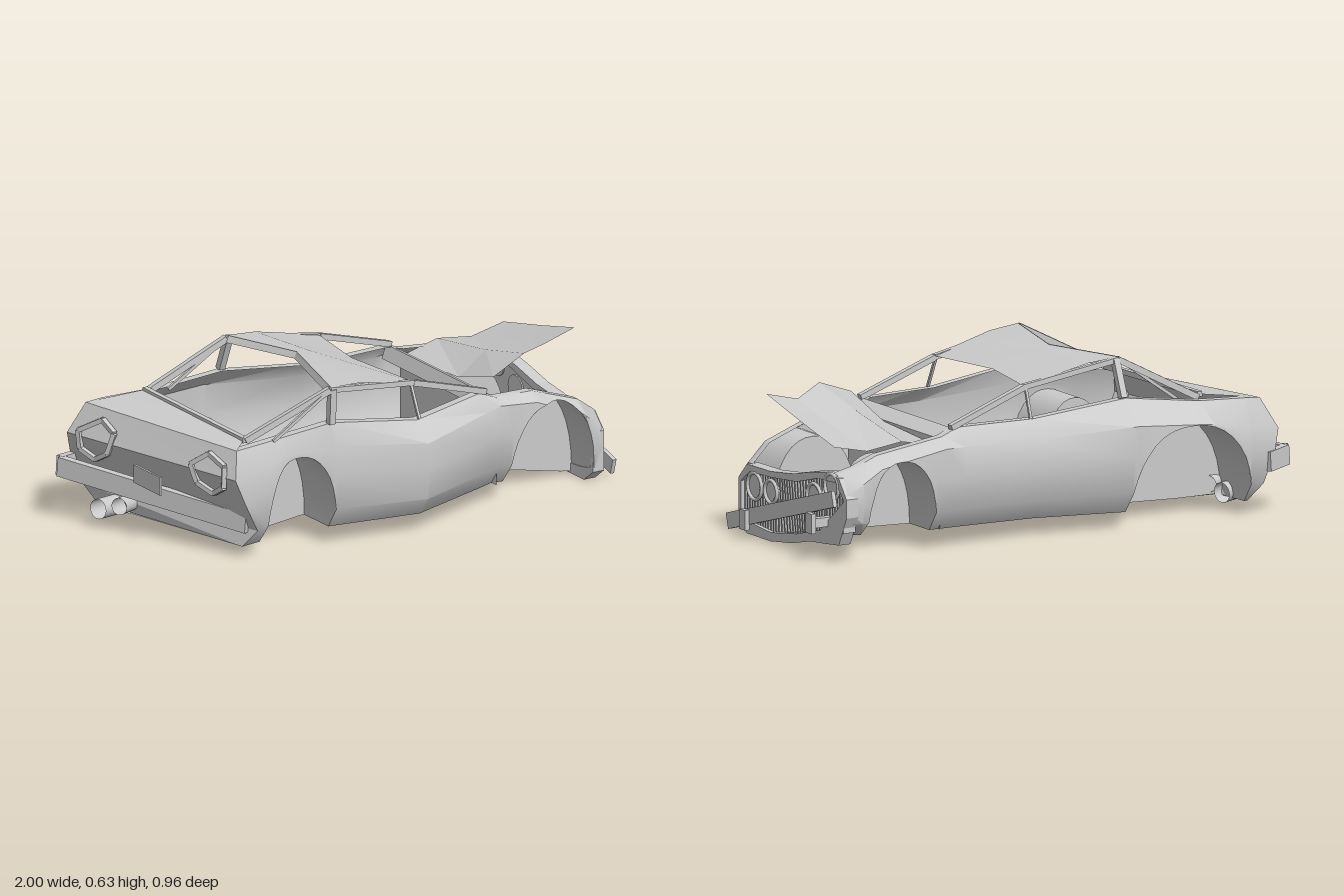
import * as THREE from 'three';
import { toCreasedNormals } from 'three/addons/utils/BufferGeometryUtils.js';

const mat = new THREE.MeshStandardMaterial({ color: 0xcccccc, side: THREE.DoubleSide });
const lerp = THREE.MathUtils.lerp;
const V = (a) => new THREE.Vector3(...a);

// Linear lookup in rows sorted by their first value.
function lookup(rows, x) {
  if (x <= rows[0][0]) return rows[0];
  for (let i = 1; i < rows.length; i++) {
    const a = rows[i - 1], b = rows[i];
    if (x <= b[0]) return a.map((v, k) => lerp(v, b[k], (x - a[0]) / (b[0] - a[0])));
  }
  return rows[rows.length - 1];
}

// Skin over equal-length rows of points.
function skin(rows, crease = 0.5) {
  const n = rows[0].length, index = [];
  for (let i = 0; i + 1 < rows.length; i++) for (let j = 0; j + 1 < n; j++) {
    const a = i * n + j, b = a + n;
    index.push(a, b, a + 1, b, b + 1, a + 1);
  }
  const g = new THREE.BufferGeometry();
  g.setAttribute('position', new THREE.Float32BufferAttribute(rows.flat(2), 3));
  g.setIndex(index);
  return toCreasedNormals(g, crease);
}

// Crushed flanks: x, outer z, belt z, belt y, shoulder y, bottom y.
// Arches: start x, end x, top y, tub depth z.
const flanks = {
  left: {
    sign: 1, rearShift: [0.02, 0.05, -0.01, -0.05, -0.02, 0],
    rows: [
      [-0.68, 0.38, 0.335, 0.43, 0.33, 0.045], [-0.5, 0.37, 0.335, 0.445, 0.38, 0.05],
      [-0.32, 0.42, 0.39, 0.485, 0.4, 0.07], [0.05, 0.482, 0.4, 0.43, 0.36, 0.07],
      [0.38, 0.365, 0.31, 0.445, 0.382, 0.07], [0.46, 0.335, 0.295, 0.41, 0.385, 0.07],
      [0.62, 0.335, 0.29, 0.405, 0.37, 0.06], [0.83, 0.34, 0.28, 0.33, 0.28, 0.015],
      [0.92, 0.31, 0.25, 0.265, 0.21, 0]],
    arches: [[-0.58, -0.31, 0.37, 0.19], [0.51, 0.88, 0.355, 0.16]],
  },
  right: {
    sign: -1, rearShift: [0.06, 0.03, -0.01, -0.03, 0.03, 0.05],
    rows: [
      [-0.9, 0.46, 0.42, 0.435, 0.32, 0.05], [-0.8, 0.48, 0.42, 0.44, 0.34, 0.05],
      [-0.62, 0.482, 0.4, 0.445, 0.37, 0.05], [-0.33, 0.465, 0.365, 0.48, 0.39, 0.06],
      [0.05, 0.4, 0.34, 0.44, 0.37, 0.065], [0.38, 0.405, 0.345, 0.445, 0.38, 0.07],
      [0.46, 0.405, 0.36, 0.42, 0.38, 0.07], [0.75, 0.43, 0.38, 0.385, 0.34, 0.08],
      [0.85, 0.46, 0.39, 0.35, 0.3, 0.1], [0.92, 0.45, 0.38, 0.33, 0.26, 0.12]],
    arches: [[-0.81, -0.31, 0.37, 0.24], [0.5, 0.82, 0.355, 0.2]],
  },
};

function levels(f, x) {
  const [, zo, zb, yb, ys, y0] = lookup(f.rows, x);
  return [[y0, zo - 0.07], [lerp(y0, ys, 0.25), zo - 0.012], [lerp(y0, ys, 0.65), zo],
    [ys, zo - 0.006], [yb, zb]];
}

function archY(f, x) {
  const a = f.arches.find(([s, e]) => x >= s && x <= e);
  if (!a) return -1;
  const u = Math.abs((2 * x - a[0] - a[1]) / (a[1] - a[0]));
  return lerp(lookup(f.rows, x)[5], a[2], Math.pow(Math.max(0, 1 - u ** 2.3), 0.45));
}

const archXs = ([s, e]) => Array.from({ length: 19 }, (_, i) =>
  lerp(s, e, (1 - Math.cos(Math.PI * i / 18)) / 2));

function stations(f) {
  const xs = [...f.rows.map((r) => r[0]), ...f.arches.flatMap(archXs)];
  return [...new Set(xs)].sort((a, b) => a - b);
}

// Points of a flank at x, bottom to window-sill lip, cut away by the arches.
function section(f, x, shift) {
  const l = levels(f, x), cut = archY(f, x);
  const pts = l.map(([y]) => { const c = Math.max(y, cut); return [x, c, lookup(l, c)[1]]; });
  const t = pts[4];
  pts.push([x, t[1], t[2] - 0.035]);
  return pts.map(([px, y, z], i) => [px + (shift ? shift[i] : 0), y, z * f.sign]);
}

export function createModel() {
  const car = new THREE.Group();
  const add = (name, geo) => {
    const m = new THREE.Mesh(geo, mat);
    m.name = name;
    car.add(m);
    return m;
  };
  // Rectangular bar between two points.
  const bar = (name, a, b, w = 0.02, h = w) => {
    const A = V(a), B = V(b);
    const m = add(name, new THREE.BoxGeometry(w, h, A.distanceTo(B)));
    m.position.copy(A).add(B).multiplyScalar(0.5);
    m.lookAt(B);
  };
  const tube = (name, a, b, r, open = false) => {
    const A = V(a), B = V(b);
    const m = add(name, new THREE.CylinderGeometry(r, r, A.distanceTo(B), 20, 1, open));
    m.position.copy(A).add(B).multiplyScalar(0.5);
    m.quaternion.setFromUnitVectors(new THREE.Vector3(0, 1, 0), B.sub(A).normalize());
  };

  // Flanks and wheel tubs
  for (const [side, f] of Object.entries(flanks)) {
    const rows = stations(f).map((x, i) => section(f, x, i === 0 && f.rearShift));
    add(side + 'Flank', skin(f.sign > 0 ? rows : rows.reverse(), 0.7));
    f.arches.forEach((a, i) => {
      const z = a[3] * f.sign;
      add(side + (i ? 'Front' : 'Rear') + 'WheelTub', skin(archXs(a).map((x) => {
        const y = archY(f, x);
        return [[x, y, lookup(levels(f, x), y)[1] * f.sign], [x, y, z], [x, lookup(f.rows, x)[5], z]];
      })));
    });
  }

  // Floor pan, notched around the wheels
  const { left, right } = flanks;
  const edge = (f, x) => {
    const l = levels(f, x)[0], a = f.arches.find(([s, e]) => x >= s && x <= e);
    let z = (a ? a[3] : l[1]) * f.sign;
    if (f === left && x < -0.66) z = lerp(0.31, -0.38, (-0.66 - x) / 0.18);
    // Past the tail line the pan closes to a point.
    return [x, l[0], f === right ? z : Math.max(z, edge(right, x)[2])];
  };
  const floorXs = [-0.84, -0.66, ...[left, right].flatMap((f) => [
    ...f.rows.map((r) => r[0]), ...f.arches.flatMap(([s, e]) => [s - 0.001, s, e, e + 0.001])])]
    .filter((x) => x >= -0.84).sort((a, b) => a - b);
  add('floorPan', skin(floorXs.map((x) => [edge(right, x), edge(left, x)])));

  // Skewed tail panel and rear deck
  const tailL = section(left, -0.68, left.rearShift).slice(0, 5);
  const tailR = section(right, -0.9, right.rearShift).slice(0, 5);
  add('tailPanel', skin([tailR, tailL], 0.3));
  add('rearDeck', skin([[tailL[4], [-0.64, 0.45, 0.29]], [tailR[4], [-0.65, 0.46, -0.36]]]));
  const onTail = (u, v) => {
    const k = Math.min(3, Math.floor(v)), t = v - k;
    const p = V(tailL[k]).lerp(V(tailL[k + 1]), t).lerp(V(tailR[k]).lerp(V(tailR[k + 1]), t), u);
    return [p.x - 0.012, p.y, p.z + 0.004];
  };
  for (const u of [0.16, 0.84]) {
    const c = [[-0.08, 2.6], [0, 2.2], [0.08, 2.5], [0.1, 3.2], [0, 3.7], [-0.1, 3.4]]
      .map(([du, v]) => onTail(u + du, v));
    c.forEach((p, i) => bar('tailLampFrame', p, c[(i + 1) % 6], 0.018));
  }
  bar('rearBumper', [-0.985, 0.21, -0.42], [-0.65, 0.14, 0.33], 0.03, 0.075);
  bar('rearBumperEnd', [-0.985, 0.21, -0.42], [-0.88, 0.2, -0.46], 0.03, 0.075);
  bar('rearPlate', [-0.865, 0.25, -0.1], [-0.865, 0.25, 0.08], 0.008, 0.07);
  tube('exhaustPipe', [-0.92, 0.075, -0.26], [-0.78, 0.065, -0.3], 0.038, true);
  tube('exhaustPipe', [-0.88, 0.1, -0.18], [-0.76, 0.09, -0.24], 0.032, true);

  // Buckled roof
  add('roof', skin([
    [[-0.33, 0.625, 0.4], [-0.22, 0.628, 0], [-0.33, 0.625, -0.31]],
    [[-0.2, 0.615, 0.385], [-0.16, 0.622, 0], [-0.2, 0.615, -0.31]],
    [[0.07, 0.557, 0.34], [0.02, 0.562, 0], [0.07, 0.557, -0.3]]], 0.2));
  add('rearHeader', skin([
    [[-0.34, 0.602, 0.39], [-0.23, 0.605, 0], [-0.34, 0.602, -0.3]],
    [[-0.33, 0.627, 0.4], [-0.22, 0.63, 0], [-0.33, 0.627, -0.31]]]));

  // Pillars and rails: z at roof rear, roof front, door rear, divider, cowl, hatch
  for (const [s, zr, zf, zb, za, zc, zq] of [
    [1, 0.392, 0.335, 0.385, 0.395, 0.3, 0.3], [-1, 0.305, 0.295, 0.36, 0.335, 0.34, 0.36]]) {
    bar('roofRail', [-0.33, 0.615, s * zr], [0.07, 0.553, s * zf], 0.02);
    bar('windscreenPillar', [0.07, 0.552, s * zf], [0.41, 0.445, s * zc], 0.022);
    bar('doorPillar', [-0.32, 0.615, s * zr], [-0.32, 0.48, s * zb], 0.026);
    bar('windowDivider', [0.06, 0.555, s * zf], [0.06, 0.43, s * za], 0.01);
    bar('hatchPillar', [-0.33, 0.615, s * zr], [-0.64, 0.45, s * zq], 0.024);
    bar('quarterPillar', [-0.34, 0.61, s * zr], [-0.56, 0.45, s * (zb - 0.02)], 0.012);
  }
  bar('hatchSill', [-0.64, 0.45, 0.3], [-0.65, 0.46, -0.36], 0.02);

  // Cowl and firewall
  add('cowl', skin([0.3, -0.03, -0.35].map((z) =>
    [[0.38, 0.39, z], [0.4, 0.442, z], [0.46, 0.41, z], [0.46, 0.07, z]]).reverse()));

  // Hood torn loose and folded like a fan
  add('hood', skin([
    [[0.92, 0.545, 0.12], [0.92, 0.49, -0.1], [0.92, 0.43, -0.36]],
    [[0.78, 0.51, 0.13], [0.78, 0.455, -0.1], [0.78, 0.4, -0.36]],
    [[0.62, 0.535, 0.24], [0.62, 0.475, -0.02], [0.63, 0.42, -0.36]],
    [[0.465, 0.48, 0.27], [0.47, 0.41, 0.03], [0.47, 0.385, -0.35]]], 0.1));

  // Twisted nose frame: z, lower y, upper y
  const nose = [[-0.455, 0.18, 0.25], [-0.4, 0.07, 0.32], [-0.31, 0.06, 0.33], [-0.2, 0.05, 0.31],
    [-0.07, 0.02, 0.28], [0.08, 0, 0.262], [0.25, 0, 0.26], [0.31, 0.045, 0.2]];
  const opening = [[-0.435, 0.12, 0.24], [-0.38, 0.115, 0.3], [-0.25, 0.1, 0.295], [-0.1, 0.06, 0.255],
    [0.08, 0.033, 0.24], [0.23, 0.045, 0.235], [0.292, 0.06, 0.19]];
  const outline = (rows) => [...rows.map(([z, y]) => new THREE.Vector2(-z, y)),
    ...rows.map(([z, , y]) => new THREE.Vector2(-z, y)).reverse()];
  const frame = new THREE.Shape(outline(nose));
  frame.holes.push(new THREE.Path(outline(opening)));
  add('noseFrame', new THREE.ExtrudeGeometry(frame, { depth: 0.05, bevelEnabled: false })
    .rotateY(Math.PI / 2).translate(0.875, 0, 0));
  add('grilleBack', new THREE.ShapeGeometry(new THREE.Shape(outline(opening)))
    .rotateY(Math.PI / 2).translate(0.885, 0, 0));

  // Grille slats, leaning in the middle
  for (let i = 0; i < 40; i++) {
    const z = lerp(-0.425, 0.285, i / 39);
    const lean = 0.015 * Math.exp(-(((z + 0.05) / 0.1) ** 2));
    const [, lo, hi] = lookup(opening, z);
    bar('grilleSlat', [0.9, lo, z - lean], [0.9, hi, z + lean], 0.024, 0.008);
  }

  // Headlamps
  for (const [z, y, r] of [[0.2, 0.185, 0.05], [0.085, 0.185, 0.043], [-0.22, 0.22, 0.05], [-0.345, 0.28, 0.048]]) {
    tube('headlamp', [0.88, y, z], [0.918, y, z], r);
    const ring = add('headlampRing', new THREE.TorusGeometry(r, 0.007, 8, 24));
    ring.rotation.y = Math.PI / 2;
    ring.position.set(0.922, y, z);
  }

  // Slanted front bumper on its brackets
  bar('frontBumper', [0.975, 0.045, 0.295], [0.975, 0.258, -0.45], 0.016, 0.06);
  for (const [z, y] of [[0.16, 0.075], [-0.31, 0.145]]) {
    add('bumperBracket', new THREE.BoxGeometry(0.095, 0.035, 0.03)).position.set(0.945, y, z);
    add('bumperGuard', new THREE.BoxGeometry(0.02, 0.075, 0.04)).position.set(0.99, y, z);
  }
  return car;
}
